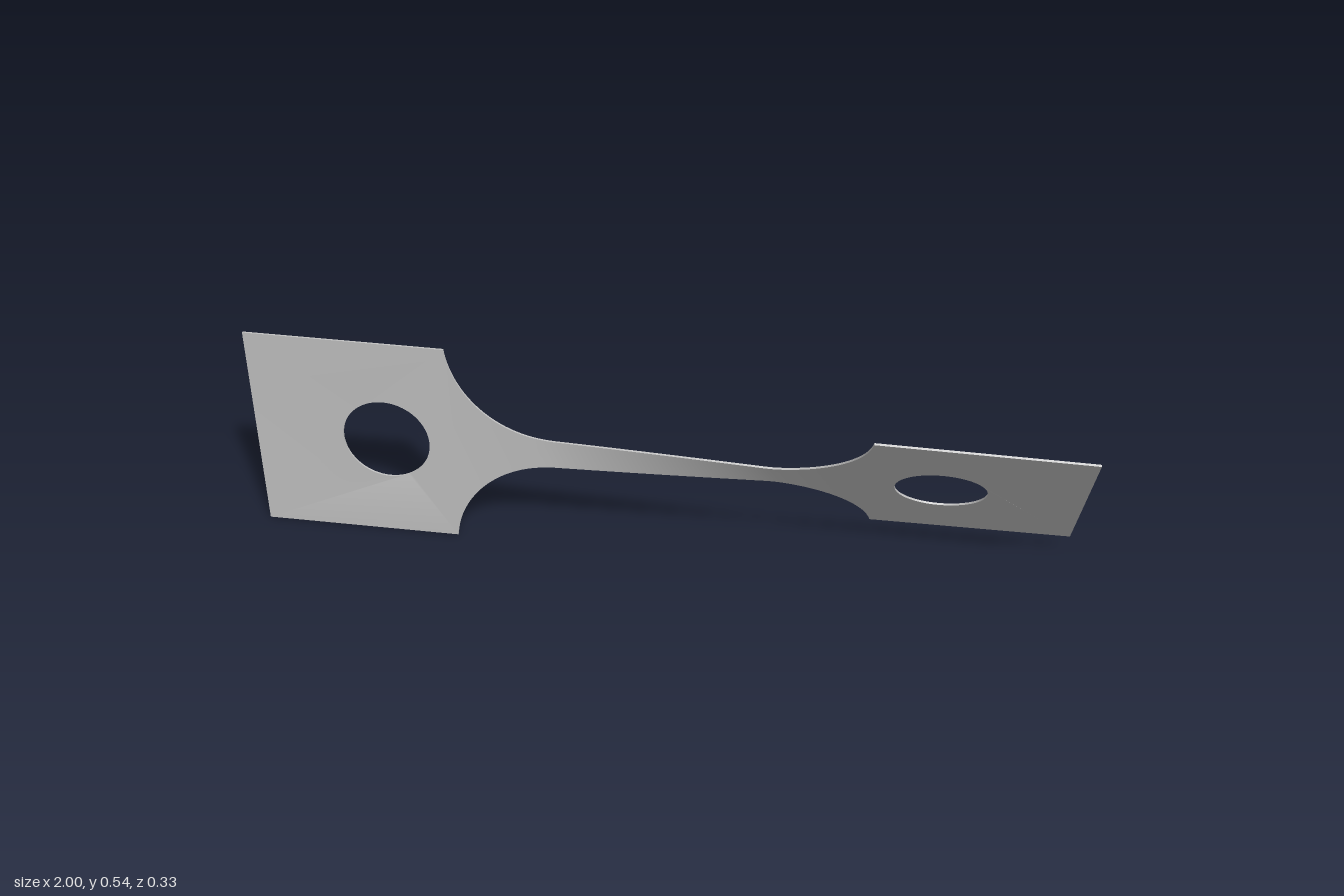
import * as THREE from 'three';
import { toCreasedNormals } from 'three/addons/utils/BufferGeometryUtils.js';

const HALF = 0.271, NECK = 0.039, FILLET = 0.26, FILLET_X = 0.25;
const SHOULDER = 0.5085, THICK = 0.005, HOLE_X = 0.67, HOLE_R = 0.108;

// Twist angle (degrees) along the length, mostly in the narrow gauge
const TWIST = [[-1, 0], [-0.5, 0.6], [-0.28, 2.5], [0.28, 34.5], [0.5, 36.4], [1, 37.2]];
function twistAt(x) {
  for (let i = 1; i < TWIST.length; i++) {
    const [x0, a0] = TWIST[i - 1], [x1, a1] = TWIST[i];
    if (x <= x1 || i === TWIST.length - 1) {
      return THREE.MathUtils.degToRad(a0 + (a1 - a0) * (x - x0) / (x1 - x0));
    }
  }
}

// Half width of the strip between the two shoulders
function halfWidth(x) {
  const d = Math.max(0, Math.abs(x) - FILLET_X);
  return NECK + FILLET - Math.sqrt(Math.max(0, FILLET * FILLET - d * d));
}

// Rotate every vertex about the long axis by the local twist
function twist(geometry) {
  const p = geometry.attributes.position;
  for (let i = 0; i < p.count; i++) {
    const x = p.getX(i), y = p.getY(i), z = p.getZ(i), a = twistAt(x);
    p.setXYZ(i, x, y * Math.cos(a) - z * Math.sin(a), y * Math.sin(a) + z * Math.cos(a));
  }
  geometry.computeVertexNormals();
  return geometry;
}

// Square grip with a round pin hole
function gripGeometry(side) {
  const a = side < 0 ? -1 : SHOULDER, b = side < 0 ? -SHOULDER : 1;
  const shape = new THREE.Shape();
  shape.moveTo(a, -HALF).lineTo(b, -HALF).lineTo(b, HALF).lineTo(a, HALF).closePath();
  const hole = new THREE.Path();
  hole.absarc(side * HOLE_X, 0, HOLE_R, 0, Math.PI * 2, true);
  shape.holes.push(hole);
  const g = new THREE.ExtrudeGeometry(shape, { depth: THICK, bevelEnabled: false, curveSegments: 48 });
  g.translate(0, 0, -THICK / 2);
  return toCreasedNormals(twist(g), 0.5);
}

// Narrow gauge with a filleted flare at each end
function gaugeGeometry() {
  const g = new THREE.BoxGeometry(2, 2, THICK, 96, 8, 1);
  const p = g.attributes.position;
  for (let i = 0; i < p.count; i++) {
    const x = SHOULDER * Math.sin(p.getX(i) * Math.PI / 2);
    p.setXYZ(i, x, p.getY(i) * halfWidth(x), p.getZ(i));
  }
  return twist(g);
}

export function createModel() {
  const model = new THREE.Group();
  model.name = 'twistedTestStrip';
  const steel = new THREE.MeshStandardMaterial({ color: 0xc0c0c0 });
  steel.name = 'steel grey';

  const add = (name, geometry) => {
    const mesh = new THREE.Mesh(geometry, steel);
    mesh.name = name;
    mesh.position.y = HALF;
    model.add(mesh);
  };
  add('rightGrip', gripGeometry(-1));
  add('leftGrip', gripGeometry(1));
  add('twistedGauge', gaugeGeometry());
  return model;
}
